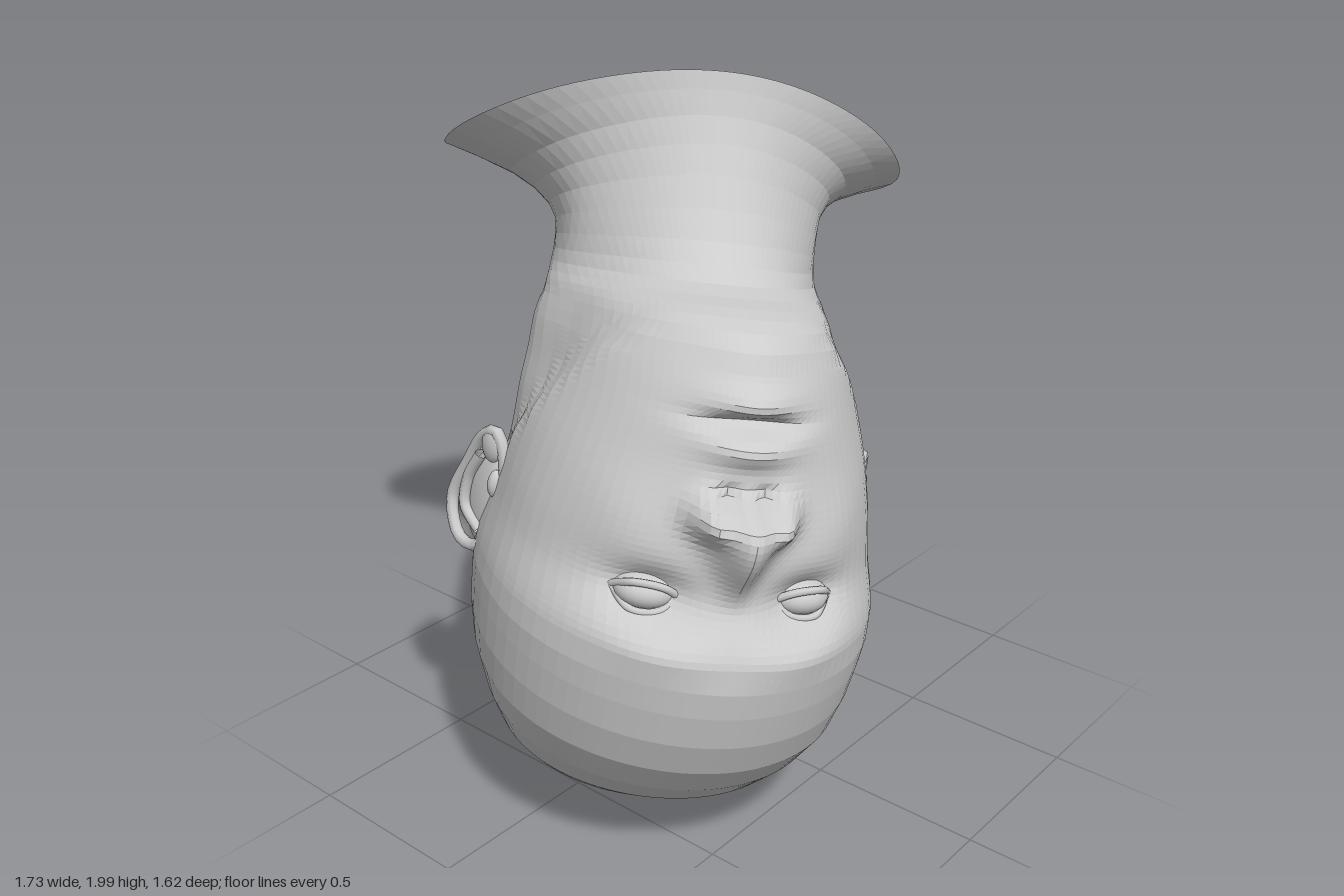
import * as THREE from 'three';

const mat = new THREE.MeshStandardMaterial({ color: 0xcccccc, flatShading: true, side: THREE.DoubleSide });
const smoothMat = new THREE.MeshStandardMaterial({ color: 0xcccccc, side: THREE.DoubleSide });

const V = (x, y, z) => new THREE.Vector3(x, y, z);
const step = (a, b, x) => THREE.MathUtils.smoothstep(x, a, b);
const bump = (x, y, cx, cy, rx, ry) => Math.exp(-(((x - cx) / rx) ** 2) - ((y - cy) / ry) ** 2);

// Rings from crown (bottom) to neck rim (top): front y, front z, back y, back z, half width
const RINGS = [
  [0.00, 0.06, 0.00, 0.05, 0.00],
  [0.025, 0.23, 0.025, -0.12, 0.18],
  [0.10, 0.39, 0.10, -0.26, 0.32],
  [0.20, 0.56, 0.20, -0.36, 0.42],
  [0.40, 0.74, 0.40, -0.43, 0.505],
  [0.60, 0.81, 0.58, -0.45, 0.53],
  [0.74, 0.815, 0.68, -0.44, 0.53],
  [0.87, 0.745, 0.83, -0.415, 0.505],
  [1.00, 0.715, 0.95, -0.395, 0.485],
  [1.15, 0.685, 1.06, -0.405, 0.46],
  [1.28, 0.65, 1.15, -0.435, 0.43],
  [1.40, 0.58, 1.22, -0.475, 0.41],
  [1.48, 0.50, 1.26, -0.505, 0.39],
  [1.505, 0.40, 1.29, -0.53, 0.38],
  [1.52, 0.26, 1.33, -0.565, 0.365],
  [1.60, 0.15, 1.39, -0.615, 0.36],
  [1.75, 0.05, 1.46, -0.68, 0.38],
  [1.89, -0.02, 1.56, -0.77, 0.48],
  [2.00, -0.05, 1.67, -0.86, 0.67],
];

// Relief of the face, added to z
function faceRelief(x, y) {
  const ax = Math.abs(x);
  const ridge = step(0.84, 1.07, y) * (1 - step(1.085, 1.15, y));
  const noseWidth = 0.045 + 0.035 * step(0.9, 1.08, y);
  return 0.13 * ridge * Math.exp(-((x / noseWidth) ** 2))
    + 0.07 * bump(ax, y, 0.095, 1.085, 0.04, 0.045)     // nostril wings
    - 0.03 * bump(ax, y, 0.045, 1.13, 0.025, 0.02)      // nostrils
    + 0.02 * bump(ax, y, 0.2, 0.76, 0.14, 0.05)         // brows
    - 0.065 * bump(ax, y, 0.19, 0.86, 0.1, 0.06)        // eye sockets
    + 0.02 * bump(ax, y, 0.28, 1.03, 0.1, 0.1)          // cheekbones
    + 0.035 * bump(x, y, 0, 1.24, 0.11, 0.035)          // lips
    + 0.035 * bump(x, y, 0, 1.345, 0.1, 0.035)
    - 0.05 * bump(x, y, 0, 1.29, 0.12, 0.02)
    + 0.025 * bump(x, y, 0, 1.45, 0.12, 0.05);          // chin
}

// Rings smoothed along the head, with more rows across the face
function headRows() {
  const last = RINGS.length - 1;
  const ring = (i) => RINGS[THREE.MathUtils.clamp(i, 0, last)];
  const rows = [];
  for (let i = 0; i < last; i++) {
    const n = ring(i)[0] > 0.7 && ring(i)[0] < 1.35 ? 8 : 2;
    for (let s = 0; s < n; s++) {
      const t = s / n;
      rows.push(ring(i).map((b, k) => {
        const a = ring(i - 1)[k], c = ring(i + 1)[k], d = ring(i + 2)[k];
        return b + 0.5 * t * (c - a + t * (2 * a - 5 * b + 4 * c - d + t * (3 * (b - c) + d - a)));
      }));
    }
  }
  rows.push(ring(last));
  return rows;
}

function headGeometry() {
  const rows = headRows(), N = 72, pos = [], idx = [];
  rows.forEach(([fy, fz, by, bz, w], i) => {
    const taper = 0.08 * step(0, 0.6, fy) + 0.14 * step(0.9, 1.35, fy) - 0.22 * step(1.42, 1.7, fy);
    const droop = 0.19 * (Math.max(0, fy - 1.45) / 0.55) ** 2; // rim hangs lower at the shoulders
    const boxy = 0.87 - 0.1 * step(1.8, 2, fy);
    for (let j = 0; j < N; j++) {
      const a = (j / N) * Math.PI * 2;
      const t = a - 0.55 * Math.sin(a); // finer towards the face
      const s = Math.sin(t), c0 = Math.cos(t);
      const c = Math.sign(c0) * Math.abs(c0) ** boxy;
      let x = w * s * (1 - taper * c);
      const y = (fy + by) / 2 + (c * (fy - by)) / 2 - droop * s * s;
      let z = (fz + bz) / 2 + (c * (fz - bz)) / 2 - droop * 0.5 * s * s;
      // the neck steps in behind the jaw line
      const past = y - (0.95 + 1.4 * (z - 0.08));
      x *= 1 - 0.1 * step(0, 0.22, past) * step(-0.2, 0.12, z);
      if (c > 0) z += faceRelief(x, y) * step(0, 0.5, c) * (1 - step(1.48, 1.52, fy));
      pos.push(x, y, z);
      if (i < rows.length - 1) {
        const p = i * N + j, q = i * N + ((j + 1) % N);
        idx.push(p, q, q + N, p, q + N, p + N);
      }
    }
  });
  const g = new THREE.BufferGeometry();
  g.setAttribute('position', new THREE.Float32BufferAttribute(pos, 3));
  g.setIndex(idx);
  g.computeVertexNormals();
  return g;
}

function add(parent, name, geometry, material, p = [0, 0, 0], scale = [1, 1, 1]) {
  const m = new THREE.Mesh(geometry, material);
  m.name = name;
  m.position.set(...p);
  m.scale.set(...scale);
  parent.add(m);
}

const tube = (pts, r, closed = false) =>
  new THREE.TubeGeometry(new THREE.CatmullRomCurve3(pts.map((p) => V(...p)), closed), 32, r, 8, closed);

// Left ear: lies in its yz plane, lobe up, outer side +x
function ear() {
  const g = new THREE.Group();
  const rim = [[0, 0.17, 0.05], [0, 0.14, -0.01], [0, 0.04, -0.07], [0.01, -0.09, -0.115],
    [0.01, -0.18, -0.06], [0, -0.175, 0.02], [-0.02, -0.06, 0.07], [-0.01, 0.1, 0.085]];
  add(g, 'earRim', tube(rim, 0.017, true), smoothMat);
  add(g, 'earBowl', new THREE.SphereGeometry(1, 24, 16), smoothMat, [-0.025, -0.02, -0.01], [0.03, 0.165, 0.085]);
  add(g, 'innerFold', tube([[0.01, 0.09, 0], [0.012, 0, -0.045], [0.012, -0.08, -0.045], [0, -0.13, 0.02]], 0.016), smoothMat);
  add(g, 'earLobe', new THREE.SphereGeometry(1, 16, 12), smoothMat, [0, 0.13, 0.035], [0.02, 0.05, 0.045]);
  add(g, 'earFlap', new THREE.SphereGeometry(1, 12, 10), smoothMat, [0, 0.03, 0.07], [0.022, 0.04, 0.022]);
  return g;
}

function eye() {
  const g = new THREE.Group();
  add(g, 'eyeball', new THREE.SphereGeometry(0.08, 24, 16), smoothMat, [0, 0, -0.03], [1, 0.6, 0.8]);
  for (const side of [-1, 1]) {
    add(g, side < 0 ? 'upperLid' : 'lowerLid',
      tube([[-0.085, 0, -0.005], [-0.04, side * 0.032, 0.022], [0.03, side * 0.036, 0.02], [0.085, 0, -0.03]], 0.01), smoothMat);
  }
  return g;
}

export function createModel() {
  const model = new THREE.Group();
  model.name = 'invertedHead';
  const head = new THREE.Group();
  head.name = 'head';
  model.add(head);

  add(head, 'headAndNeck', headGeometry(), mat);
  for (const side of [-1, 1]) {
    const label = side > 0 ? 'left' : 'right';
    const e = ear();
    e.name = label + 'Ear';
    e.position.set(side * 0.535, 0.84, 0.04);
    e.rotation.y = -side * 0.45;
    e.scale.x = side;
    head.add(e);
    const y = eye();
    y.name = label + 'Eye';
    y.position.set(side * 0.2, 0.855, 0.66);
    y.rotation.y = side * 0.2;
    y.scale.x = side;
    head.add(y);
  }

  // Turn and tilt the head
  const acrossEars = V(0.78, -0.16, 0.605).normalize();
  const up = V(-0.61, 0, 0.79).cross(acrossEars).normalize();
  const facing = acrossEars.clone().cross(up);
  head.quaternion.setFromRotationMatrix(new THREE.Matrix4().makeBasis(acrossEars, up, facing));
  head.position.set(-0.27, 0.007, -0.02);
  return model;
}
